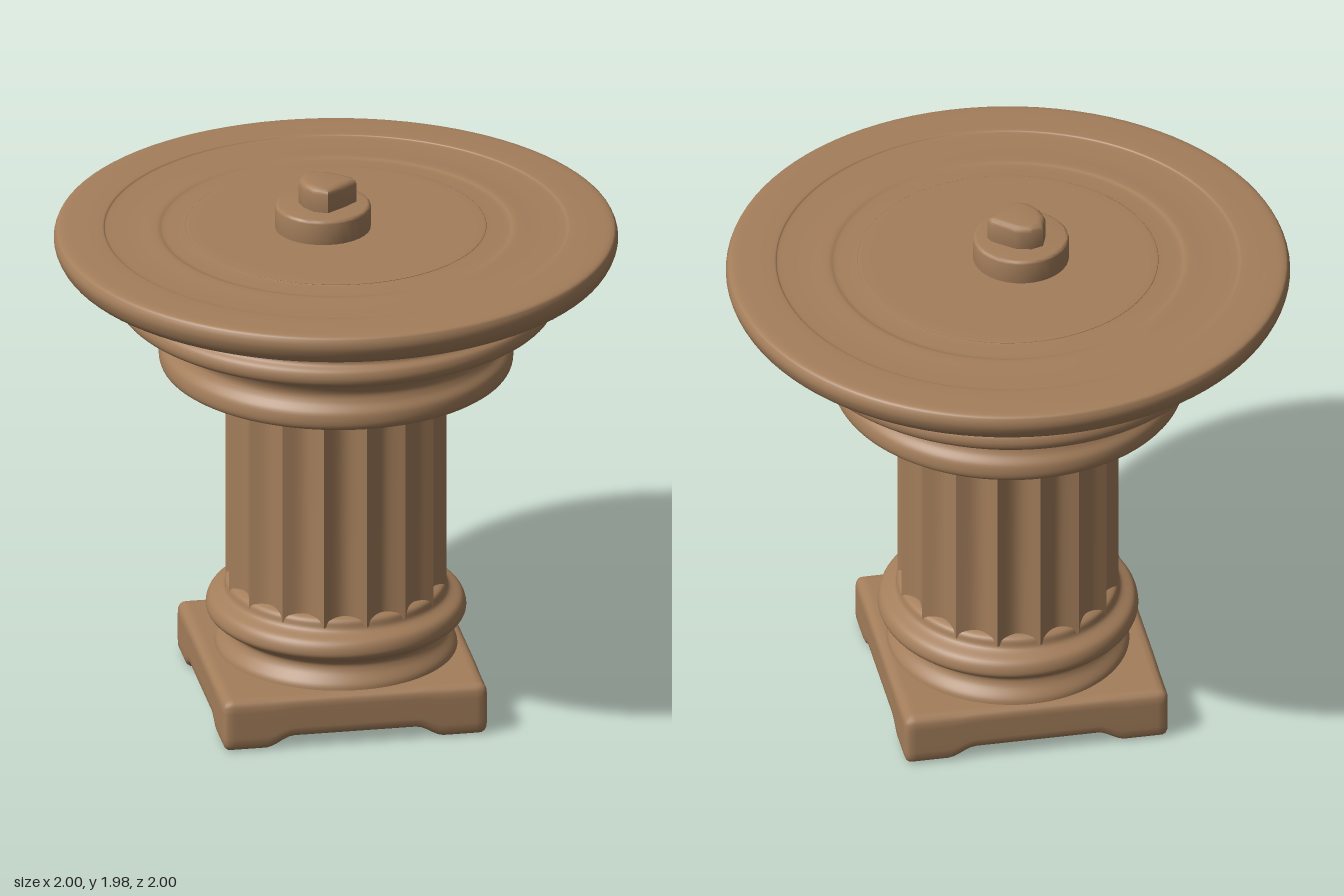
import * as THREE from 'three';
import { toCreasedNormals } from 'three/addons/utils/BufferGeometryUtils.js';

const stone = new THREE.MeshStandardMaterial({ color: 0xa47e5b });
stone.name = 'sandstone';

// Move every vertex of a geometry by a rule
function reshape(geometry, rule) {
  const p = geometry.attributes.position;
  const v = new THREE.Vector3();
  for (let i = 0; i < p.count; i++) {
    v.fromBufferAttribute(p, i);
    rule(v);
    p.setXYZ(i, v.x, v.y, v.z);
  }
  return geometry;
}

// Smooth moulding turned from [radius, height] points
function turned(points, samples) {
  const curve = new THREE.SplineCurve(points.map(([r, y]) => new THREE.Vector2(r, y)));
  const profile = curve.getPoints(samples);
  profile.forEach((q) => { q.x = Math.max(q.x, 0); });
  return new THREE.LatheGeometry(profile, 96);
}

// Square plinth with soft edges and low feet at its corners
function plinthGeometry() {
  const half = 0.475, low = 0.045, high = 0.195, round = 0.025;
  const mid = (low + high) / 2, tall = (high - low) / 2;
  const inner = new THREE.Vector3(half - round, tall - round, half - round);
  const box = new THREE.BoxGeometry(half * 2, tall * 2, half * 2, 48, 8, 48);
  reshape(box, (v) => {
    const core = v.clone().clamp(inner.clone().negate(), inner);
    const out = v.clone().sub(core);
    v.copy(core).addScaledVector(out.normalize(), round);
    const fx = THREE.MathUtils.smoothstep(Math.abs(v.x), 0.22, 0.32);
    const fz = THREE.MathUtils.smoothstep(Math.abs(v.z), 0.22, 0.32);
    const depth = (tall - v.y) / (2 * tall);
    v.y += mid - fx * fz * 0.04 * depth;
  });
  return toCreasedNormals(box, 0.7);
}

// Shaft with sixteen concave flutes meeting in sharp ridges
function shaftGeometry() {
  const g = new THREE.CylinderGeometry(0.4, 0.4, 0.82, 192, 1, true);
  reshape(g, (v) => {
    const a = Math.atan2(v.x, v.z);
    const r = 0.4 - 0.036 * Math.abs(Math.sin(8 * a));
    v.set(r * Math.sin(a), v.y, r * Math.cos(a));
  });
  return toCreasedNormals(g, 0.8);
}

// Upright slab with rounded edges from an outline of [x, z] points
function nubGeometry(outline, y, height, bevel) {
  const shape = new THREE.Shape(outline.map(([x, z]) => new THREE.Vector2(x, -z)));
  const g = new THREE.ExtrudeGeometry(shape, {
    depth: height - 2 * bevel, bevelEnabled: true, bevelThickness: bevel,
    bevelSize: bevel, bevelOffset: -bevel, bevelSegments: 3,
  });
  g.rotateX(-Math.PI / 2).translate(0, y + bevel, 0);
  return toCreasedNormals(g, 0.7);
}

export function createModel() {
  const model = new THREE.Group();
  model.name = 'pedestal';
  const add = (name, geometry) => {
    const mesh = new THREE.Mesh(geometry, stone);
    mesh.name = name;
    model.add(mesh);
    return mesh;
  };

  // Plinth sits slightly turned under the column
  const plinth = add('plinth', plinthGeometry());
  plinth.position.set(-0.015, 0, 0.005);
  plinth.rotation.y = -0.09;

  // Base ring
  const base = add('baseMoulding', turned([
    [0.43, 0.17], [0.425, 0.21], [0.395, 0.25], [0.39, 0.28], [0.42, 0.305],
    [0.452, 0.325], [0.46, 0.35], [0.445, 0.385], [0.4, 0.41], [0.385, 0.445], [0.34, 0.46],
  ], 60));
  base.scale.z = 1.04;

  // Fluted shaft
  const shaft = add('flutedShaft', shaftGeometry());
  shaft.position.y = 0.83;
  shaft.scale.set(0.98, 1, 1.04);

  // Stepped capital
  const capital = add('capital', turned([
    [0.34, 1.195], [0.385, 1.205], [0.43, 1.235], [0.51, 1.265], [0.6, 1.275],
    [0.625, 1.295], [0.622, 1.34], [0.597, 1.375], [0.59, 1.41], [0.62, 1.455],
    [0.7, 1.495], [0.765, 1.513], [0.782, 1.54], [0.775, 1.572], [0.752, 1.592],
    [0.755, 1.62], [0.79, 1.65], [0.84, 1.67],
  ], 90));
  capital.scale.z = 1.03;

  // Round table top with shallow rings
  add('tableTop', turned([
    [0.76, 1.645], [0.83, 1.655], [0.93, 1.672], [0.975, 1.695], [0.998, 1.74],
    [0.995, 1.775], [0.975, 1.791], [0.9, 1.795], [0.83, 1.795], [0.81, 1.789],
    [0.72, 1.789], [0.64, 1.793], [0.61, 1.788], [0.55, 1.79], [0.525, 1.793],
    [0.51, 1.8], [0.25, 1.8], [0, 1.8],
  ], 120));

  // Small collar and worn knob on top
  const circle = Array.from({ length: 32 }, (_, i) => {
    const a = (i / 32) * Math.PI * 2;
    return [-0.048 + 0.17 * Math.cos(a), -0.17 * Math.sin(a)];
  });
  add('collar', nubGeometry(circle, 1.78, 0.11, 0.012));
  const knob = nubGeometry([
    [-0.13, -0.03], [-0.105, -0.085], [-0.06, -0.095], [-0.005, -0.075], [0.065, -0.005],
    [0.07, 0.02], [0.02, 0.055], [-0.055, 0.095], [-0.1, 0.07], [-0.125, 0.02],
  ], 1.87, 0.11, 0.022);
  add('knob', knob);

  return model;
}
